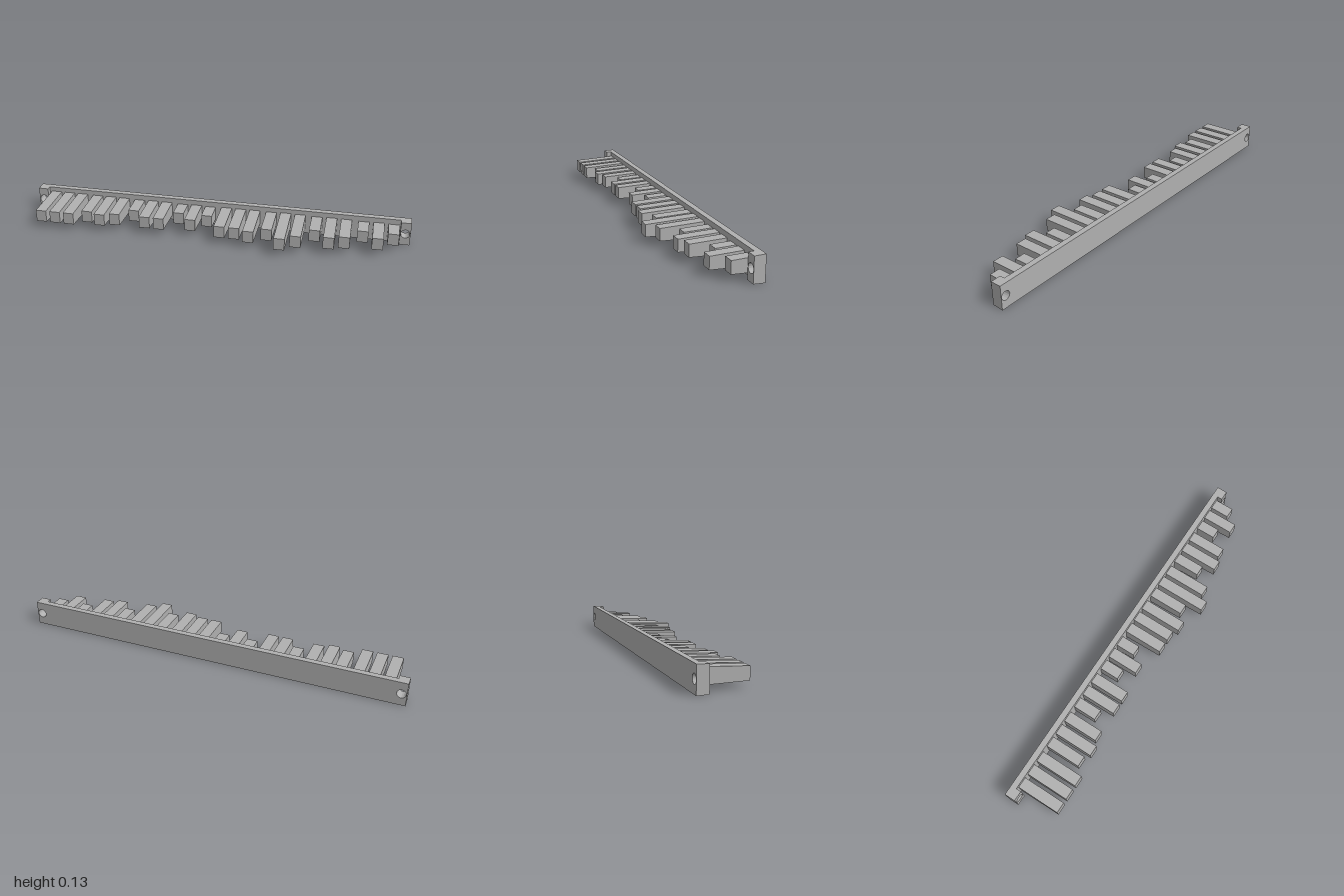
import * as THREE from 'three';

const MID_Y = 0.064;    // height of the centre line
const BACK = -0.148;    // rear face of the backplate
const FRONT = -0.118;   // front face of the backplate
const DRAFT = 0.035;    // slope of top and bottom faces
const END = 0.052;      // width of the end blocks

// Plate with round holes; the outer top and bottom edges narrow towards the front
function draftedPlate(x0, x1, holes, z0, z1) {
  const h = 0.064;
  const shape = new THREE.Shape();
  shape.moveTo(x0, -h).lineTo(x1, -h).lineTo(x1, h).lineTo(x0, h).closePath();
  for (const x of holes) {
    const hole = new THREE.Path();
    hole.absarc(x, 0, 0.023, 0, Math.PI * 2, true);
    shape.holes.push(hole);
  }
  const geo = new THREE.ExtrudeGeometry(shape, { depth: z1 - z0, bevelEnabled: false, curveSegments: 8 });
  geo.translate(0, 0, z0);
  const p = geo.attributes.position;
  for (let i = 0; i < p.count; i++) {
    const y = p.getY(i);
    if (Math.abs(y) > 0.05) p.setY(i, Math.sign(y) * (h - DRAFT * (p.getZ(i) - BACK)));
  }
  geo.translate(0, MID_Y, 0);
  geo.computeVertexNormals();
  return geo;
}

// Bar with a fixed tip height, growing taller towards its root
function toothGeometry(tipZ) {
  const length = tipZ - FRONT;
  const geo = new THREE.BoxGeometry(0.0556, 0.062, length);
  geo.translate(0, 0, FRONT + length / 2);
  const p = geo.attributes.position;
  for (let i = 0; i < p.count; i++) {
    const y = p.getY(i);
    p.setY(i, y + Math.sign(y) * DRAFT * (tipZ - p.getZ(i)));
  }
  geo.computeVertexNormals();
  return geo;
}

export function createModel() {
  const model = new THREE.Group();
  model.name = 'toothedBar';
  const grey = new THREE.MeshStandardMaterial({ color: 0xb0b0b0 });
  grey.name = 'grey';

  const add = (name, geo, x = 0, y = 0) => {
    const mesh = new THREE.Mesh(geo, grey);
    mesh.name = name;
    mesh.position.set(x, y, 0);
    model.add(mesh);
  };

  // Long backplate with a mounting hole at each end
  const holeX = 0.974;
  add('backplate', draftedPlate(-1, 1, [-holeX, holeX], BACK, FRONT));

  // Raised blocks around the holes
  add('leftEndBlock', draftedPlate(1 - END, 1, [holeX], FRONT, -0.092));
  add('rightEndBlock', draftedPlate(-1, END - 1, [-holeX], FRONT, -0.092));

  // Eight groups of three teeth, each tooth one of nine lengths
  const levels = [
    [6, 6, 6], [4, 5, 4], [1, 4, 4], [0, 3, 0],
    [5, 5, 6], [4, 8, 6], [2, 5, 4], [0, 3, 0],
  ];
  levels.forEach((group, g) => group.forEach((level, i) => {
    const x = -0.832 + g * 0.2387 + (i - 1) * 0.0757;
    add(`tooth${g * 3 + i + 1}`, toothGeometry(-0.018 + level * 0.02075), x, MID_Y);
  }));

  return model;
}
